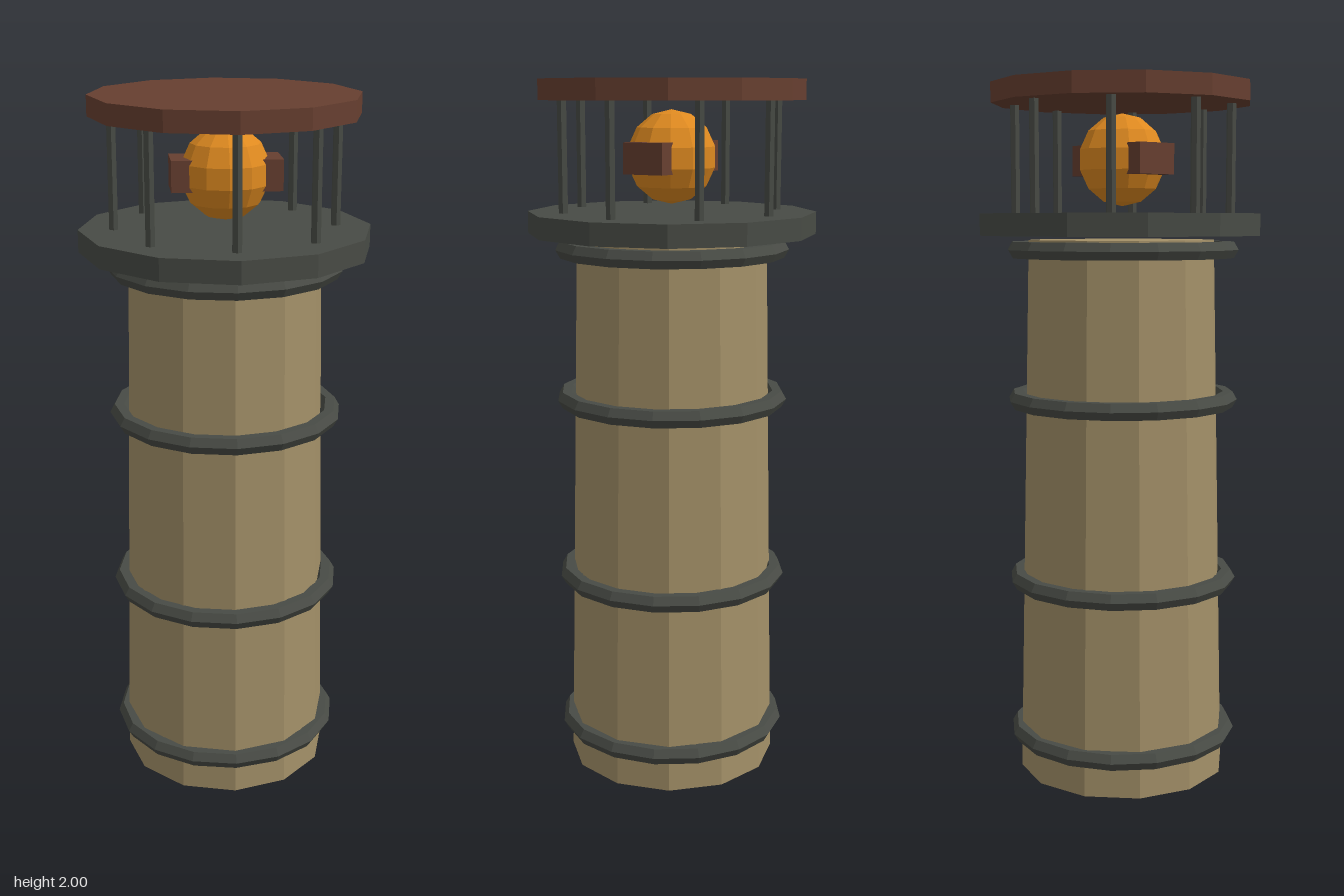
import * as THREE from 'three';

const paint = (name, color) => {
  const m = new THREE.MeshStandardMaterial({ color });
  m.name = name;
  m.flatShading = true;
  return m;
};

export function createModel() {
  const stone = paint('sandstone', 0xa39068);
  const iron = paint('dark iron', 0x484b45);
  const rust = paint('red brown', 0x673f30);
  const amber = paint('amber', 0xdf8a20);

  const model = new THREE.Group();
  model.name = 'lighthouse';
  const add = (name, geometry, material, x, y, z) => {
    const mesh = new THREE.Mesh(geometry, material);
    mesh.name = name;
    mesh.position.set(x, y, z);
    model.add(mesh);
    return mesh;
  };
  // Upright cylinder spanning y0 to y1
  const drum = (name, rTop, rBottom, y0, y1, sides, material, x = 0, z = 0) =>
    add(name, new THREE.CylinderGeometry(rTop, rBottom, y1 - y0, sides), material, x, (y0 + y1) / 2, z);

  // Tapered tower, gallery deck and roof slab
  drum('tower', 0.27, 0.305, 0, 1.563, 12, stone);
  drum('galleryDeck', 0.408, 0.408, 1.575, 1.637, 12, iron);
  drum('roof', 0.373, 0.373, 1.943, 2, 12, rust);

  // Iron bands around the tower
  const band = new THREE.TorusGeometry(0.307, 0.027, 6, 16).rotateX(Math.PI / 2);
  [0.113, 0.576, 1.105, 1.535].forEach((y, i) => add('band' + (i + 1), band, iron, 0, y, 0));

  // Posts holding the roof
  for (let i = 0; i < 8; i++) {
    const a = (i * Math.PI) / 4;
    drum('post' + (i + 1), 0.014, 0.014, 1.63, 1.95, 6, iron, 0.309 * Math.sin(a), 0.309 * Math.cos(a));
  }

  // Lamp with its crossbar
  add('lamp', new THREE.SphereGeometry(0.13, 12, 7), amber, 0, 1.788, 0).scale.set(0.96, 1, 0.96);
  add('lampCrossbar', new THREE.BoxGeometry(0.305, 0.086, 0.125), rust, 0, 1.788, 0);

  return model;
}
